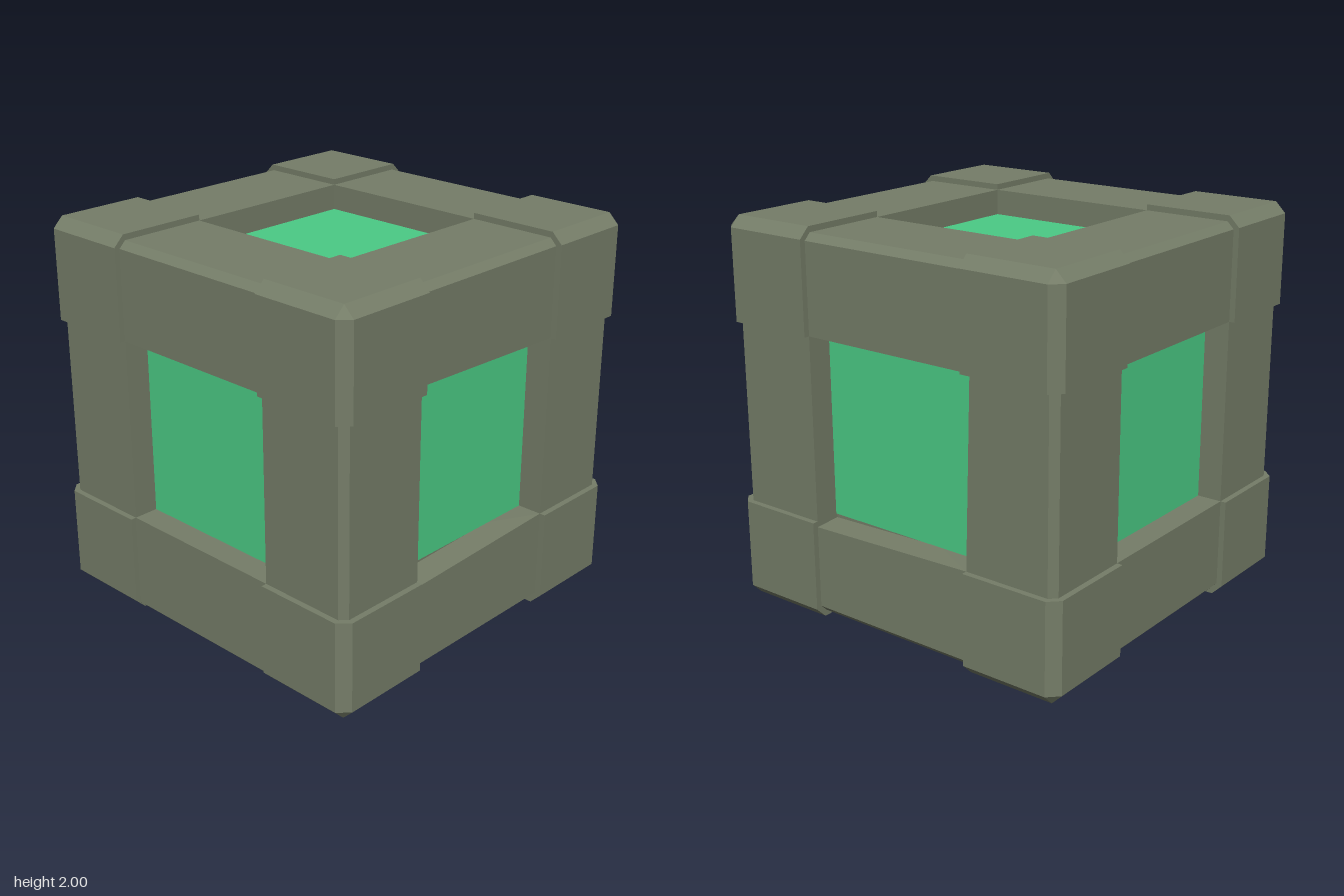
import * as THREE from 'three';
import { ConvexGeometry } from 'three/addons/geometries/ConvexGeometry.js';

const INNER = 0.475; // half width of each square opening
const FLOOR = 0.832; // depth of the recessed panels

export function createModel() {
  const olive = new THREE.MeshStandardMaterial({ color: 0x757d68 });
  olive.name = 'olive casing';
  const green = new THREE.MeshStandardMaterial({ color: 0x4bcb85 });
  green.name = 'green panel';

  const cube = new THREE.Group();
  cube.name = 'cube';
  cube.position.y = 1;

  const add = (name, geometry, material) => {
    const mesh = new THREE.Mesh(geometry, material);
    mesh.name = name;
    cube.add(mesh);
    return mesh;
  };

  // Hidden core that closes the recesses
  add('core', new THREE.BoxGeometry(2 * FLOOR, 2 * FLOOR, 2 * FLOOR), olive);

  // Recessed panels, one per face
  for (let axis = 0; axis < 3; axis++) {
    for (const s of [-1, 1]) {
      const size = [2 * INNER, 2 * INNER, 2 * INNER];
      size[axis] = 0.008;
      const panel = add('panel', new THREE.BoxGeometry(...size), green);
      panel.position.setComponent(axis, s * (FLOOR + 0.002));
    }
  }

  // Corner blocks with the outer edges bevelled
  const k = 0.945;
  const c = INNER;
  const corner = [[c, c, c]];
  for (let i = 0; i < 3; i++) {
    // Each triple is rotated through the three axes
    for (const p of [[1, k, k], [c, 1, k], [c, k, 1], [c, c, 1]]) {
      corner.push([p[(3 - i) % 3], p[(4 - i) % 3], p[(5 - i) % 3]]);
    }
  }
  for (const x of [-1, 1]) for (const y of [-1, 1]) for (const z of [-1, 1]) {
    const points = corner.map((p) => new THREE.Vector3(p[0] * x, p[1] * y, p[2] * z));
    add('cornerBlock', new ConvexGeometry(points), olive);
  }

  // A few bars have one inner edge pulled back at one end:
  // axis, signs across the bar, which side (0 or 1) is the outer face, end
  const skews = [
    { axis: 0, s: 1, t: 1, face: 1, end: -1 },
    { axis: 0, s: -1, t: 1, face: 1, end: -1 },
    { axis: 1, s: -1, t: 1, face: 1, end: 1 },
    { axis: 2, s: 1, t: -1, face: 0, end: 1 },
  ];

  // Edge bars between the corners, bevelled on the outer edge
  for (let axis = 0; axis < 3; axis++) for (const s of [-1, 1]) for (const t of [-1, 1]) {
    const skew = skews.find((q) => q.axis === axis && q.s === s && q.t === t);
    const o = 0.97;
    const b = 0.035;
    // The lower bar on the model's right is flush with the corners underneath
    const ov = axis === 2 && s === -1 && t === -1 ? 1 : o;
    const points = [];
    for (const end of [-1, 1]) {
      const pull = skew && skew.end === end ? 0.03 : 0;
      const u = pull && skew.face === 1 ? c + pull : c;
      const v = pull && skew.face === 0 ? c + pull : c;
      for (const [p, q] of [[c, c], [o, v], [o, ov - b], [o - b, ov], [u, ov]]) {
        const point = new THREE.Vector3();
        point.setComponent(axis, end * INNER);
        point.setComponent((axis + 1) % 3, p * s);
        point.setComponent((axis + 2) % 3, q * t);
        points.push(point);
      }
    }
    add('edgeBar', new ConvexGeometry(points), olive);
  }

  const model = new THREE.Group();
  model.name = 'panelledCube';
  model.add(cube);
  return model;
}
